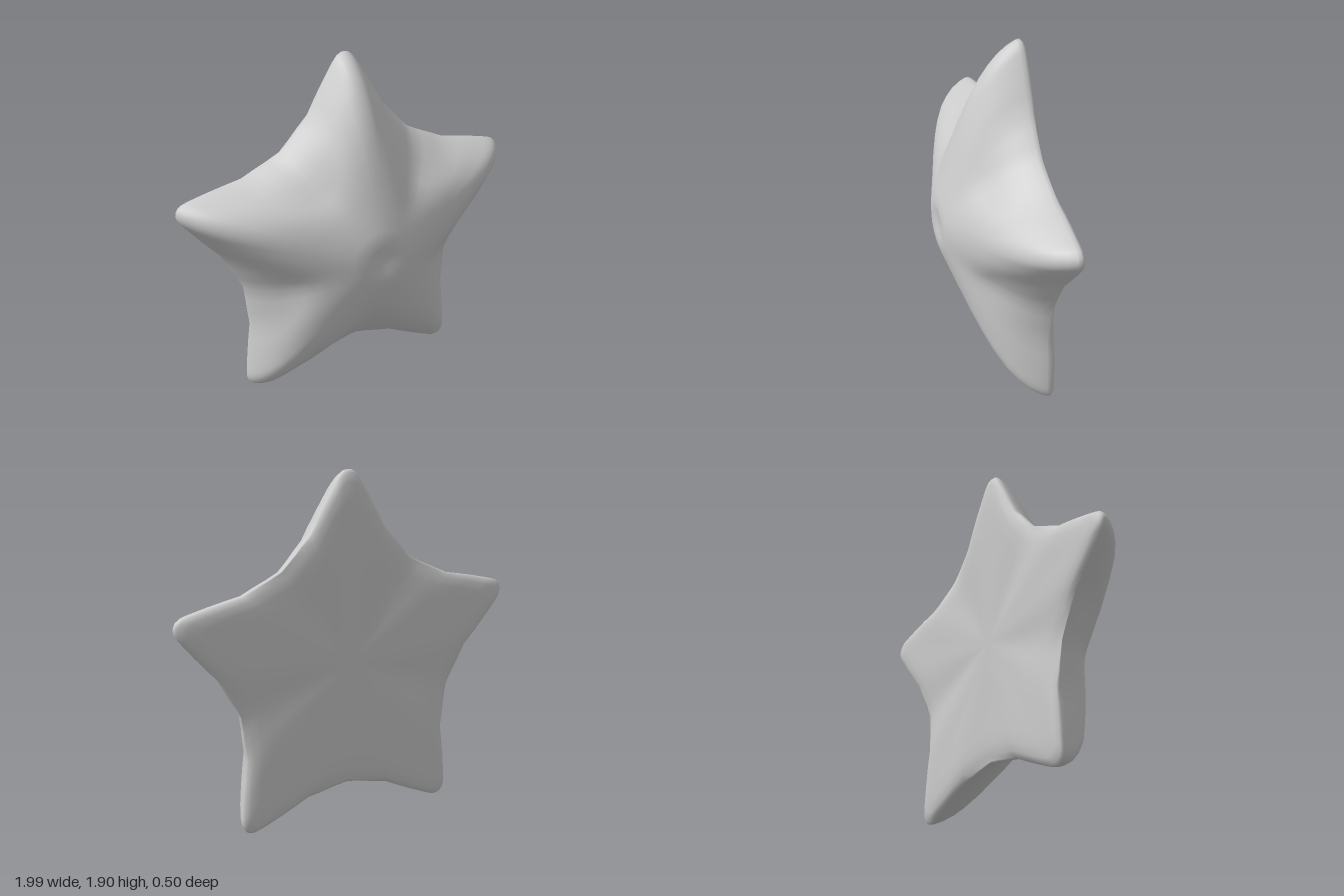
import * as THREE from 'three';

const { lerp, smoothstep } = THREE.MathUtils;
const CENTRE_Y = 0.866;

// Half outline of one arm: [sideways, outwards], tip to valley
const ARM = [[0, 1.045], [0.022, 1.041], [0.045, 1.025], [0.064, 1.0], [0.083, 0.97], [0.13, 0.893], [0.178, 0.81],
  [0.225, 0.725], [0.282, 0.665], [0.338, 0.602], [0.395, 0.544]];

// Profiles from centre to rim: [fraction of outline, z]
const FRONT = [[0, 0.238], [0.045, 0.239], [0.085, 0.246], [0.125, 0.248], [0.18, 0.235], [0.27, 0.207],
  [0.38, 0.172], [0.5, 0.134], [0.61, 0.094], [0.71, 0.052], [0.81, 0], [0.88, -0.05], [0.935, -0.1],
  [0.975, -0.152], [0.995, -0.19], [1, -0.212]];
const BACK = [[0, -0.233], [0.25, -0.236], [0.5, -0.243], [0.72, -0.248], [0.85, -0.247], [0.94, -0.241], [0.985, -0.228]];
const BACK_LIFT = 0.022; // how far the valleys are hollowed on the back

// Full outline as polar samples, mirrored per arm and repeated five times
function starOutline() {
  const half = ARM.map(([w, r]) => ({ a: Math.atan2(w, r), r: Math.hypot(w, r) }));
  half[half.length - 1].a = Math.PI / 5;
  const arm = [...half.slice(1, -1).reverse().map(p => ({ a: -p.a, r: p.r })), ...half];
  const ring = [];
  for (let k = 0; k < 5; k++) {
    for (const p of arm) ring.push({ a: p.a + k * Math.PI * 2 / 5, r: p.r });
  }
  return ring;
}

// Rings blend from a circle, through a soft five-lobed curve, to the outline
function ringRadius(t, a, r) {
  const lobed = 0.86 + 0.185 * Math.cos(5 * a);
  const inner = lerp(1, lobed, smoothstep(t, 0.05, 0.8));
  return t * lerp(inner, r, smoothstep(t, 0.4, 1));
}

function starGeometry() {
  const outline = starOutline();
  const rings = [...FRONT.map(([t, z]) => ({ t, z, lift: 0 })),
    ...BACK.map(([t, z]) => ({ t, z, lift: BACK_LIFT * smoothstep(t, 0, 0.7) })).reverse()];
  const n = outline.length, last = rings.length - 1;
  const pos = [], index = [];

  rings.forEach(({ t, z, lift }, i) => {
    if (i === 0 || i === last) { pos.push(0, 0, z); return; }
    for (const { a, r } of outline) {
      const d = ringRadius(t, a, r);
      const valley = (1 - Math.cos(5 * a)) / 2;
      pos.push(-Math.sin(a) * d, Math.cos(a) * d, z + lift * valley ** 2);
    }
  });

  const id = (i, j) => i === 0 ? 0 : i === last ? 1 + (last - 1) * n : 1 + (i - 1) * n + j % n;
  for (let i = 0; i < last; i++) {
    for (let j = 0; j < n; j++) {
      const a = id(i, j), b = id(i + 1, j), c = id(i + 1, j + 1), d = id(i, j + 1);
      if (i < last - 1) index.push(a, b, c);
      if (i > 0) index.push(a, c, d);
    }
  }
  const geo = new THREE.BufferGeometry();
  geo.setAttribute('position', new THREE.Float32BufferAttribute(pos, 3));
  geo.setIndex(index);
  geo.computeVertexNormals();
  return geo;
}

export function createModel() {
  const group = new THREE.Group();
  group.name = 'starfish';
  const body = new THREE.Mesh(starGeometry(), new THREE.MeshStandardMaterial({ color: 0xcccccc }));
  body.name = 'starBody';
  body.position.y = CENTRE_Y;
  group.add(body);
  return group;
}
